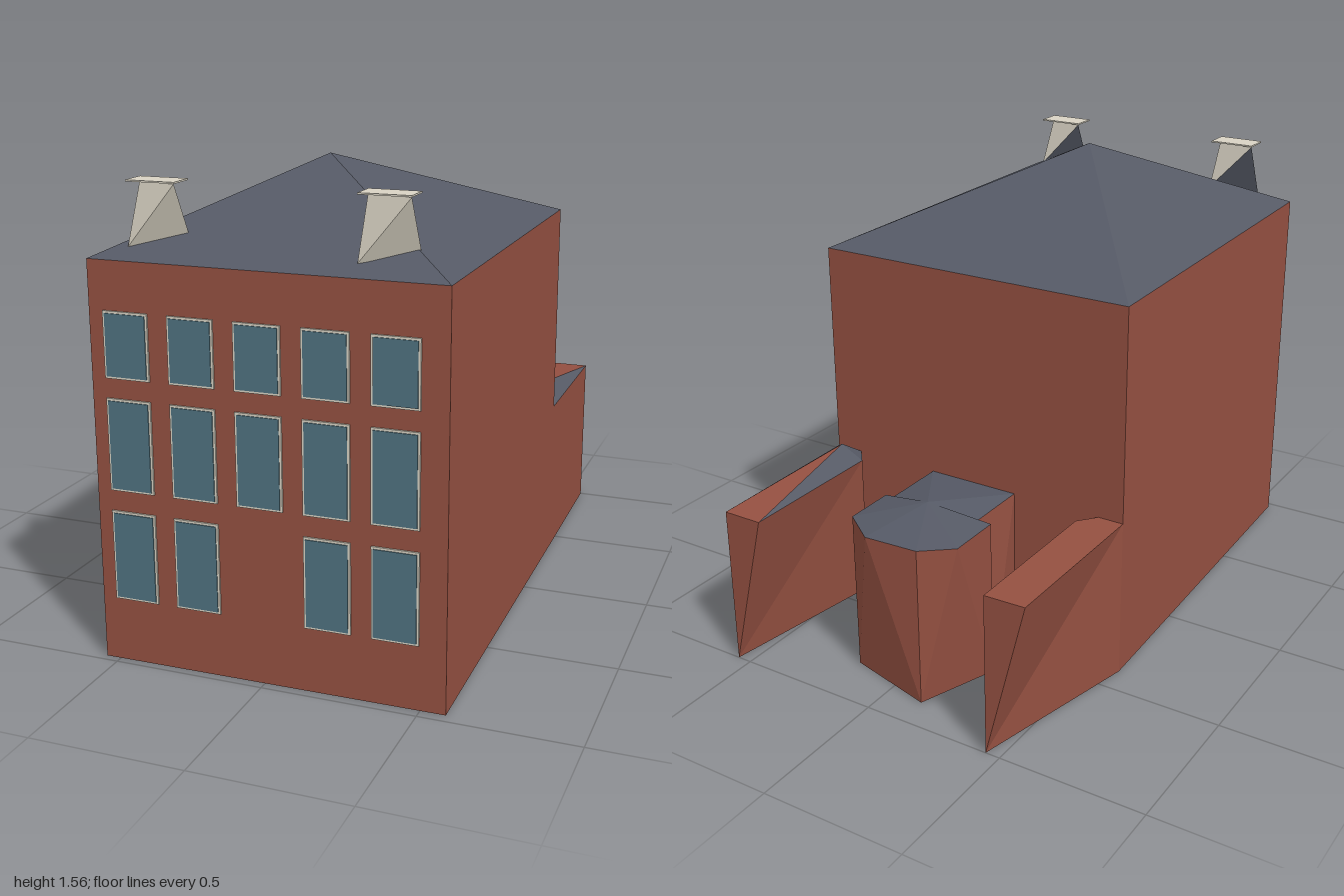
import * as THREE from 'three';

const mat = (name, color, extra = {}) => {
  const m = new THREE.MeshStandardMaterial({ color, ...extra });
  m.name = name;
  return m;
};

// Flat-shaded mesh from a list of triangles, each three [x, y, z] corners
function facets(name, tris, material) {
  const g = new THREE.BufferGeometry();
  g.setAttribute('position', new THREE.Float32BufferAttribute(tris.flat(2), 3));
  g.computeVertexNormals();
  const mesh = new THREE.Mesh(g, material);
  mesh.name = name;
  return mesh;
}

const at = (ring, y) => ring.map(([x, z]) => [x, y, z]);

// Horizontal cap over a ring of [x, z] points
function cap(ring, y, up) {
  const pts = ring.filter((p, i) => ring.findIndex(q => q[0] === p[0] && q[1] === p[1]) === i);
  const flat = pts.map(([x, z]) => new THREE.Vector2(x, -z));
  const p3 = at(pts, y);
  return THREE.ShapeUtils.triangulateShape(flat, []).map(([a, b, c]) =>
    up ? [p3[a], p3[b], p3[c]] : [p3[a], p3[c], p3[b]]);
}

// Walls between a bottom ring at y = 0 and a top ring, with a floor
function walls(bottom, top, y) {
  const b = at(bottom, 0), t = at(top, y);
  const tris = cap(bottom, 0, false);
  b.forEach((p, i) => {
    const j = (i + 1) % b.length;
    tris.push([p, b[j], t[j]], [p, t[j], t[i]]);
  });
  return tris;
}

// Sloping faces from every edge of a ring up to one peak
const peaked = (ring, y, peak) => {
  const r = at(ring, y);
  return r.map((p, i) => [p, r[(i + 1) % r.length], peak]);
};

export function createModel() {
  const house = new THREE.Group();
  house.name = 'townHouse';
  const brick = mat('brick red', 0x945041);
  const slate = mat('slate grey', 0x555965);
  const stone = mat('pale stone', 0xd8d2c3);
  const glass = mat('window blue', 0x4f7280);

  // Main block and hipped roof
  const plan = [[-0.55, 0.975], [0.58, 0.965], [0.56, -0.4], [-0.59, -0.4]];
  house.add(facets('mainWalls', walls(plan, plan, 1.29), brick));
  house.add(facets('mainRoof', peaked(plan, 1.29, [0, 1.56, 0.4]), slate));

  // Left rear wing, tapering to its outer foot, with a partly slated top
  const wingY = 0.555;
  const leftTop = [[0.46, -0.4], [0.56, -0.4], [0.55, -1], [0.41, -1], [0.41, -0.46]];
  const leftFoot = [[0.46, -0.4], [0.56, -0.4], [0.55, -1], [0.55, -1], [0.46, -0.4]];
  house.add(facets('leftWingWalls', walls(leftFoot, leftTop, wingY), brick));
  const slopes = peaked(leftTop, wingY, [0.48, 0.61, -0.48]);
  house.add(facets('leftWingBrickTop', [slopes[2]], brick));
  house.add(facets('leftWingRoof', slopes.filter((_, i) => i !== 2), slate));

  // Right rear wing, tapering to its inner foot
  const rightTop = [[-0.59, -0.4], [-0.5, -0.4], [-0.45, -0.46], [-0.45, -1], [-0.59, -0.995]];
  const rightFoot = [[-0.59, -0.4], [-0.5, -0.4], [-0.5, -0.4], [-0.45, -1], [-0.45, -1]];
  house.add(facets('rightWing',
    [...walls(rightFoot, rightTop, wingY), ...cap(rightTop, wingY, true)], brick));

  // Rear bay with a low faceted roof
  const bayTop = [[0.15, -0.4], [0.15, -0.63], [0.18, -0.63], [0.18, -0.81], [0.06, -0.9],
    [-0.13, -0.89], [-0.23, -0.81], [-0.23, -0.62], [-0.18, -0.62], [-0.18, -0.4]];
  const bayFoot = [[0.15, -0.4], [0.15, -0.4], [0.18, -0.81], [0.18, -0.81], [-0.13, -0.89],
    [-0.13, -0.89], [-0.23, -0.62], [-0.23, -0.62], [-0.23, -0.62], [-0.18, -0.4]];
  house.add(facets('bayWalls', walls(bayFoot, bayTop, wingY), brick));
  house.add(facets('bayRoof', peaked(bayTop, wingY, [-0.02, 0.6, -0.67]), slate));

  // Chimneys: a thin slab on a twisted wedge
  for (const [side, x0] of [['right', -0.445], ['left', 0.285]]) {
    const x1 = x0 + 0.16, z0 = 0.82, z1 = 0.91;
    const t0 = [x0, 1.515, z0], t1 = [x1, 1.515, z1];
    const b0 = [x0, 1.32, z1], b1 = [x1, 1.345, z0];
    const chimney = new THREE.Group();
    chimney.name = side + 'Chimney';
    chimney.add(facets('stack', [[t0, b0, t1], [t0, t1, b1], [t1, b0, b1]], stone));
    chimney.add(facets('stackBack', [[t0, b1, b0]], slate));
    const slab = new THREE.Mesh(new THREE.BoxGeometry(0.16, 0.005, 0.09), stone);
    slab.name = 'slab';
    slab.position.set((x0 + x1) / 2, 1.5175, (z0 + z1) / 2);
    chimney.add(slab);
    house.add(chimney);
  }

  // Front windows in three rows; the lowest row leaves the middle bay blank
  const windows = new THREE.Group();
  windows.name = 'frontWindows';
  windows.position.z = 0.9705;
  windows.rotation.y = 0.009;
  for (const [y0, y1, skip] of [[0.21, 0.503, 2], [0.57, 0.865, -1], [0.928, 1.137, -1]]) {
    for (let i = 0; i < 5; i++) {
      if (i === skip) continue;
      const x = -0.428 + i * 0.2125;
      for (const [name, w, h, d, m] of [
        ['windowFrame', 0.148, y1 - y0, 0.006, stone],
        ['windowPane', 0.134, y1 - y0 - 0.014, 0.009, glass]]) {
        const plate = new THREE.Mesh(new THREE.BoxGeometry(w, h, d), m);
        plate.name = name;
        plate.position.set(x, (y0 + y1) / 2, d / 2);
        windows.add(plate);
      }
    }
  }
  house.add(windows);
  return house;
}
